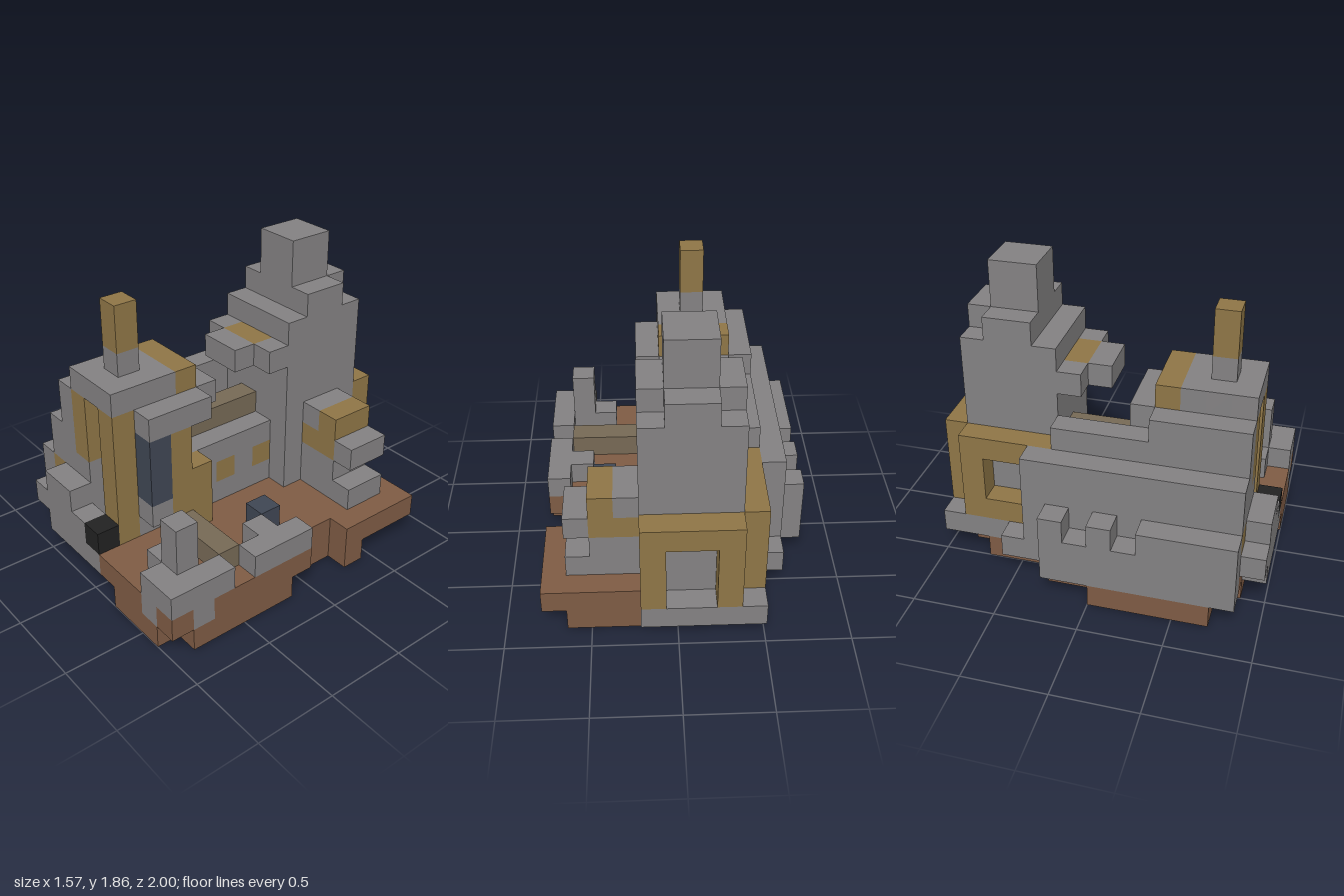
import * as THREE from 'three';
import { mergeGeometries } from 'three/addons/utils/BufferGeometryUtils.js';

const U = 1 / 7, NX = 11, NY = 13, NZ = 14;
const mat = (name, color) => new THREE.MeshStandardMaterial({ name, color });

// Face plates of a unit cell: outward direction and the turn that points a plane that way
const SIDES = [
  [1, 0, 0, 0, Math.PI / 2], [-1, 0, 0, 0, -Math.PI / 2],
  [0, 1, 0, -Math.PI / 2, 0], [0, -1, 0, Math.PI / 2, 0],
  [0, 0, 1, 0, 0], [0, 0, -1, 0, Math.PI],
];

export function createModel() {
  const stone = mat('stone', 0x838182), timber = mat('timber', 0x8e7546);
  const earth = mat('earth', 0x7e5b44), plank = mat('plank', 0x766955);
  const slate = mat('slate blue', 0x3f4653), iron = mat('black iron', 0x222222);

  // Blocks on a grid: each range is [from, to) in cells; later blocks replace earlier ones
  const cells = new Map();
  const key = (x, y, z) => (y * NZ + z) * NX + x;
  const block = (name, m, [x0, x1], [y0, y1], [z0, z1]) => {
    for (let x = x0; x < x1; x++) for (let y = y0; y < y1; y++) for (let z = z0; z < z1; z++)
      if (m) cells.set(key(x, y, z), { name, m, x, y, z });
      else cells.delete(key(x, y, z));
  };
  const carve = (...r) => block('', null, ...r);

  // Ground, lower layer with stepped outline
  block('ground', earth, [3, 10], [0, 1], [1, 2]);
  block('ground', earth, [2, 10], [0, 1], [2, 5]);
  block('ground', earth, [10, 11], [0, 1], [4, 5]);
  block('ground', earth, [1, 10], [0, 1], [5, 12]);
  block('ground', earth, [0, 1], [0, 1], [7, 12]);
  block('ground', earth, [10, 11], [0, 1], [8, 13]);
  block('ground', earth, [2, 10], [0, 1], [12, 13]);
  block('ground', earth, [7, 10], [0, 1], [13, 14]);
  // Ground, upper layer
  block('ground', earth, [2, 11], [1, 2], [1, 5]);
  block('ground', earth, [1, 10], [1, 2], [5, 13]);
  block('ground', earth, [10, 11], [1, 2], [7, 14]);
  block('ground', earth, [6, 10], [1, 2], [13, 14]);

  // Stone footings
  block('backFooting', stone, [2, 7], [1, 2], [0, 1]);
  block('backFooting', stone, [2, 3], [1, 2], [1, 5]);
  block('backFooting', stone, [1, 2], [1, 2], [3, 5]);
  block('sideFooting', stone, [1, 2], [1, 2], [5, 12]);

  // Stepped side walls, lowest outside, with battlements
  block('outerWall', stone, [0, 1], [1, 3], [5, 13]);
  for (const [a, b] of [[5, 6], [7, 8], [9, 13]]) block('battlement', stone, [0, 1], [3, 4], [a, b]);
  block('middleWall', stone, [1, 2], [2, 6], [4, 13]);
  block('wallPost', timber, [1, 2], [3, 4], [12, 13]);
  block('innerWall', stone, [2, 3], [2, 7], [5, 13]);
  block('innerWall', stone, [2, 3], [7, 8], [9, 13]);

  // Front wall and iron block
  block('frontWall', stone, [1, 5], [2, 3], [13, 14]);
  block('frontWall', stone, [2, 6], [1, 2], [13, 14]);
  block('frontWall', stone, [2, 4], [3, 4], [13, 14]);
  block('ironBlock', iron, [5, 6], [2, 3], [13, 14]);

  // Gatehouse body, door, posts and roof
  block('gatehouse', stone, [3, 6], [2, 8], [10, 12]);
  block('gatehouse', stone, [3, 4], [2, 5], [12, 13]);
  block('gateDoor', earth, [4, 5], [2, 5], [11, 12]);
  block('gateLintel', plank, [4, 5], [5, 6], [11, 12]);
  block('gateWindow', slate, [4, 5], [7, 8], [11, 12]);
  block('gatePost', timber, [3, 4], [5, 8], [12, 13]);
  block('gatePost', timber, [5, 6], [2, 8], [12, 13]);
  block('gateRoof', stone, [3, 6], [8, 9], [10, 13]);
  block('gateEave', timber, [3, 6], [8, 9], [9, 10]);
  block('gateSlab', stone, [3, 6], [7, 8], [8, 10]);
  block('chimneyBase', stone, [4, 5], [9, 10], [11, 12]);
  block('chimney', timber, [4, 5], [10, 12], [11, 12]);

  // Side porch with slate panel
  block('porchRoof', stone, [6, 7], [7, 8], [9, 12]);
  block('porchPanel', slate, [6, 7], [4, 7], [11, 12]);
  block('porchSill', stone, [6, 7], [3, 4], [11, 12]);
  block('porchPost', timber, [6, 7], [2, 7], [10, 11]);
  block('porchPost', timber, [6, 7], [2, 5], [9, 10]);
  block('lowBeam', plank, [7, 10], [2, 3], [10, 11]);

  // Arcade joining gatehouse and tower
  block('arcade', stone, [5, 6], [2, 5], [5, 10]);
  for (const z of [5, 7]) block('arcadePost', timber, [5, 6], [3, 4], [z, z + 1]);
  block('walkway', plank, [4, 5], [5, 6], [5, 10]);

  // Back tower with stepped crown and balcony
  block('tower', stone, [3, 7], [2, 10], [1, 5]);
  block('towerStep', stone, [3, 7], [10, 11], [2, 4]);
  block('towerStep', stone, [4, 6], [10, 11], [1, 2]);
  block('towerTop', stone, [4, 6], [11, 13], [2, 4]);
  block('balcony', stone, [3, 7], [8, 9], [5, 6]);
  block('balcony', stone, [4, 6], [8, 9], [6, 7]);
  block('balconyFloor', timber, [4, 6], [8, 9], [5, 6]);

  // Timber window frames behind and beside the tower
  block('backFrame', timber, [3, 7], [2, 6], [0, 1]);
  carve([4, 6], [2, 5], [0, 1]);
  block('sideFrame', timber, [2, 3], [2, 6], [1, 5]);
  carve([2, 3], [3, 5], [2, 4]);

  // Bay on the far side of the tower
  block('bayBase', stone, [7, 10], [2, 3], [2, 4]);
  block('bayBase', stone, [7, 9], [3, 4], [2, 4]);
  block('bayFrame', timber, [7, 9], [4, 6], [2, 4]);
  block('bayRoof', stone, [7, 8], [5, 6], [2, 4]);
  block('bayLedge', stone, [9, 10], [4, 5], [2, 4]);

  // Courtyard ruins
  block('slateBlock', slate, [8, 9], [2, 3], [7, 8]);
  block('yardWall', stone, [10, 11], [2, 3], [7, 10]);
  block('yardWall', stone, [9, 10], [2, 3], [8, 9]);
  block('cornerWall', stone, [10, 11], [2, 3], [11, 14]);
  block('cornerWall', stone, [9, 10], [2, 3], [12, 14]);
  block('cornerWall', stone, [8, 9], [2, 3], [12, 13]);
  block('cornerWall', stone, [9, 10], [1, 2], [13, 14]);
  block('cornerWall', stone, [10, 11], [1, 2], [12, 13]);
  block('cornerPillar', stone, [9, 10], [3, 5], [12, 13]);

  // Gather the exposed faces of each part
  const plates = SIDES.map(([dx, dy, dz, rx, ry]) =>
    new THREE.PlaneGeometry(U, U).rotateX(rx).rotateY(ry).translate(dx * U / 2, dy * U / 2, dz * U / 2));
  const parts = new Map();
  const filled = (x, y, z) => x >= 0 && x < NX && y >= 0 && y < NY && z >= 0 && z < NZ && cells.has(key(x, y, z));
  for (const { name, m, x, y, z } of cells.values()) {
    if (!parts.has(name)) parts.set(name, { m, faces: [] });
    SIDES.forEach(([dx, dy, dz], i) => {
      if (filled(x + dx, y + dy, z + dz)) return;
      parts.get(name).faces.push(plates[i].clone().translate(
        (x + 0.5 - NX / 2) * U, (y + 0.5) * U, (z + 0.5 - NZ / 2) * U));
    });
  }

  const model = new THREE.Group();
  model.name = 'castle';
  for (const [name, { m, faces }] of parts) {
    if (!faces.length) continue;
    const mesh = new THREE.Mesh(mergeGeometries(faces), m);
    mesh.name = name;
    model.add(mesh);
  }
  return model;
}
